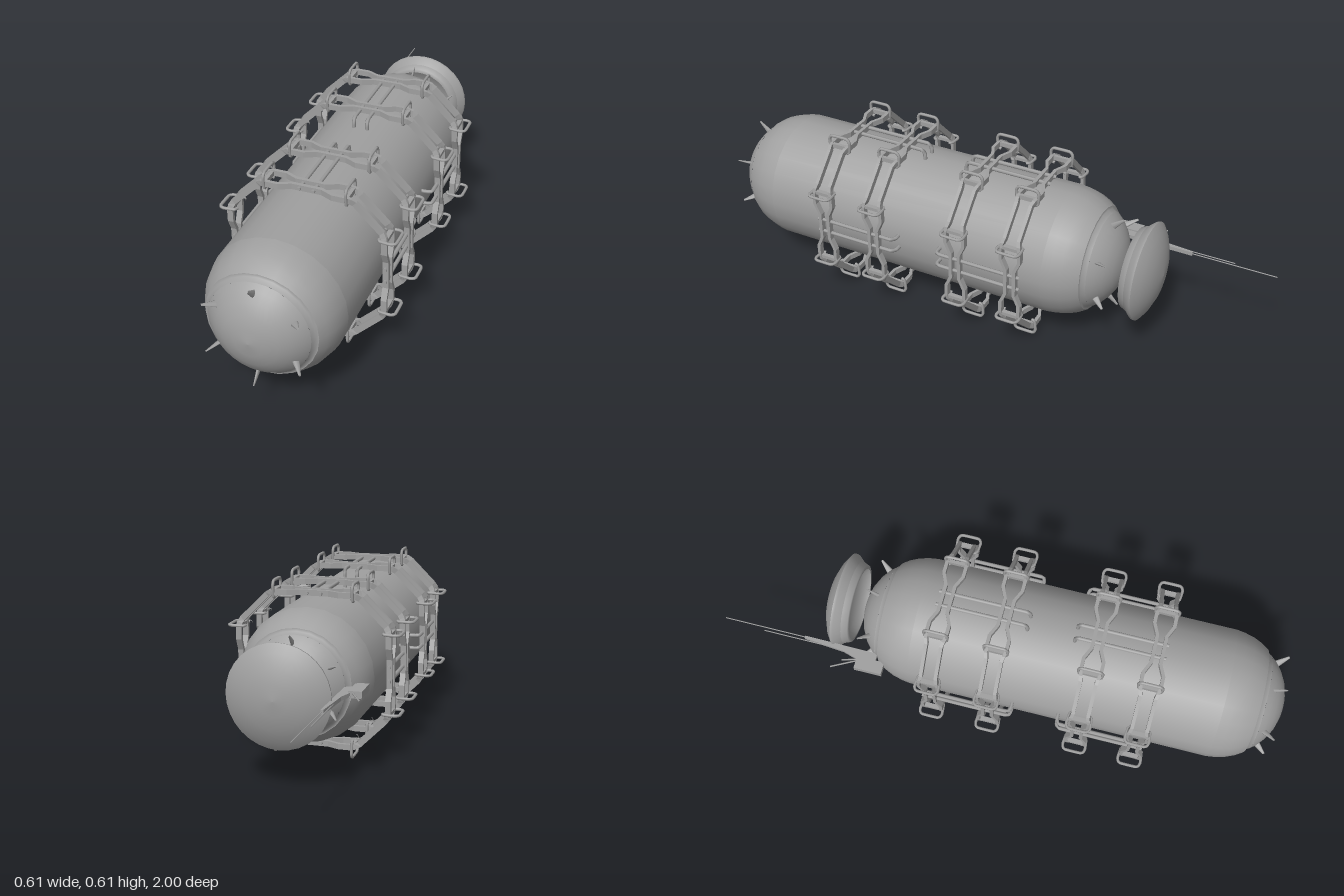
import * as THREE from 'three';

const V = (x, y, z) => new THREE.Vector3(x, y, z);

export function createModel() {
  const model = new THREE.Group();
  const grey = new THREE.MeshStandardMaterial({ color: 0xa0a0a0 });
  grey.name = 'metal grey';

  // Everything is arranged around the tank axis, which runs along z.
  const body = new THREE.Group();
  body.name = 'body';
  body.position.set(-0.002, 0.305, 0);
  model.add(body);

  const add = (name, geometry, parent = body) => {
    const mesh = new THREE.Mesh(geometry, grey);
    mesh.name = name;
    parent.add(mesh);
    return mesh;
  };
  const lathe = (points, sides) => new THREE.LatheGeometry(
    points.map(([r, z]) => new THREE.Vector2(r, z)), sides).rotateX(Math.PI / 2);
  const tube = (points, radius, steps = 24) => new THREE.TubeGeometry(
    new THREE.CatmullRomCurve3(points, false, 'catmullrom', 0.2), steps, radius, 6);

  // Tank barrel, then two mirrored ends (shoulder, groove, dome, horns)
  const middle = 0.24;
  add('tankBarrel', lathe([[0.23, -0.3], [0.23, 0.78]], 24));
  for (const side of [1, -1]) {
    const end = new THREE.Group();
    end.name = side > 0 ? 'frontEnd' : 'rearEnd';
    end.position.z = middle;
    if (side < 0) end.rotation.y = Math.PI;
    body.add(end);
    add('shoulder', lathe([[0.23, 0.54], [0.226, 0.57], [0.217, 0.605], [0.203, 0.637], [0.186, 0.663]], 24), end);
    add('groove', lathe([[0.186, 0.663], [0.176, 0.664], [0.168, 0.68]], 24), end);
    add('dome', lathe([[0.168, 0.68], [0.152, 0.699], [0.125, 0.722], [0.09, 0.742], [0.048, 0.755], [0, 0.76]], 32), end);
    for (let i = 0; i < 6; i++) {
      const spoke = new THREE.Group();
      spoke.name = 'hornMount';
      spoke.rotation.z = i * Math.PI / 3;
      end.add(spoke);
      const horn = add('horn', new THREE.CylinderGeometry(0.004, 0.016, 0.07, 8).scale(0.45, 1, 1), spoke);
      horn.position.set(0, 0.155, 0.713);
      horn.rotation.x = 0.85;
    }
  }

  // Cage hoops: quarter outline as [across, out, half spacing of the rails]
  const H = 0.263;
  const quarter = [[0, H, 0.016], [0.05, H, 0.016], [0.09, H, 0.034], [0.135, H, 0.034],
    [0.15, 0.26, 0.03], [0.163, 0.252, 0.026], [0.252, 0.163, 0.026], [0.26, 0.15, 0.03],
    [H, 0.135, 0.034], [H, 0.09, 0.034], [H, 0.05, 0.016]];
  const outline = [];
  for (let q = 0; q < 4; q++) {
    const c = Math.cos(q * Math.PI / 2), s = Math.sin(q * Math.PI / 2);
    for (const [x, y, w] of quarter) outline.push([x * c + y * s, y * c - x * s, w]);
  }
  const rail = (side) => {
    const n = outline.length, positions = [], index = [];
    outline.forEach(([x, y, w], i) => {
      const a = outline[(i + n - 1) % n], b = outline[(i + 1) % n];
      const normal = new THREE.Vector2(a[1] - b[1], b[0] - a[0]).normalize();
      for (const [r, z] of [[-0.01, -0.006], [0.01, -0.006], [0.01, 0.006], [-0.01, 0.006]]) {
        positions.push(x + normal.x * r, y + normal.y * r, side * w + z);
      }
      for (let k = 0; k < 4; k++) {
        const p = i * 4 + k, q = i * 4 + (k + 1) % 4;
        const p2 = ((i + 1) % n) * 4 + k, q2 = ((i + 1) % n) * 4 + (k + 1) % 4;
        index.push(p, q, q2, p, q2, p2);
      }
    });
    const g = new THREE.BufferGeometry();
    g.setAttribute('position', new THREE.Float32BufferAttribute(positions, 3));
    g.setIndex(index);
    const flat = g.toNonIndexed();
    flat.computeVertexNormals();
    return flat;
  };
  const railGeometries = [rail(1), rail(-1)];
  const handleGeometry = tube([V(0, 0.243, -0.025), V(0, 0.246, -0.037), V(0, 0.285, -0.041), V(0, 0.3, -0.031),
    V(0, 0.3, 0.031), V(0, 0.285, 0.041), V(0, 0.246, 0.037), V(0, 0.243, 0.025)], 0.0055, 28);
  const crossBar = new THREE.BoxGeometry(0.012, 0.016, 0.066);

  for (const z of [0.525, 0.323, 0, -0.208]) {
    const hoop = new THREE.Group();
    hoop.name = 'cageHoop';
    hoop.position.z = z;
    body.add(hoop);
    for (const g of railGeometries) add('hoopRail', g, hoop);
    for (let q = 0; q < 4; q++) {
      const face = new THREE.Group();
      face.name = 'hoopFace';
      face.rotation.z = q * Math.PI / 2;
      hoop.add(face);
      for (const x of [-0.138, 0.138]) {
        add('handle', handleGeometry, face).position.x = x;
        add('crossBar', crossBar, face).position.set(x, H, 0);
      }
    }
  }

  // Paired pipes that join the hoops and bend down into the tank
  for (let q = 0; q < 4; q++) {
    const face = new THREE.Group();
    face.name = 'pipeSet';
    face.rotation.z = q * Math.PI / 2;
    body.add(face);
    for (const x of [-0.024, 0.024]) {
      for (const [start, end] of [[0.555, 0.245], [-0.24, 0.08]]) {
        const d = Math.sign(end - start);
        add('pipe', tube([V(x, 0.262, start), V(x, 0.262, end - d * 0.02),
          V(x, 0.255, end - d * 0.005), V(x, 0.245, end), V(x, 0.215, end)], 0.007, 32), face);
      }
    }
  }

  // Rear dish: domed back, sloped skirt and a recessed front
  const dish = new THREE.Group();
  dish.name = 'dish';
  dish.position.set(0.004, 0.005, 0);
  body.add(dish);
  add('dishBack', lathe([[0, -0.657], [0.05, -0.653], [0.1, -0.641], [0.145, -0.622], [0.174, -0.602]], 32), dish);
  add('dishSkirt', lathe([[0.174, -0.602], [0.172, -0.592], [0.152, -0.57]], 32), dish);
  add('dishRim', lathe([[0.152, -0.57], [0.143, -0.548], [0.13, -0.546]], 32), dish);
  add('dishRecess', lathe([[0.13, -0.546], [0.118, -0.572], [0.06, -0.588], [0, -0.592]], 32), dish);

  // Side antenna: mount plate, tapered arm, two masts and small prongs
  const antenna = new THREE.Group();
  antenna.name = 'antenna';
  body.add(antenna);
  add('antennaMount', new THREE.BoxGeometry(0.045, 0.024, 0.1), antenna).position.set(-0.215, 0, -0.447);
  const arm = new THREE.Shape([[-0.2, 0.43], [-0.165, 0.43], [-0.163, 0.7], [-0.172, 0.7], [-0.185, 0.55], [-0.2, 0.5]]
    .map(([x, y]) => new THREE.Vector2(x, y)));
  add('antennaArm', new THREE.ExtrudeGeometry(arm, { depth: 0.014, bevelEnabled: false })
    .rotateX(-Math.PI / 2).translate(0, -0.007, 0), antenna);
  const rod = (name, a, b, r) => add(name, new THREE.TubeGeometry(new THREE.LineCurve3(a, b), 1, r, 6), antenna);
  rod('longMast', V(-0.166, 0, -0.6), V(-0.166, 0, -1), 0.002);
  rod('shortMast', V(-0.178, 0, -0.52), V(-0.178, 0, -0.85), 0.002);
  rod('prong', V(-0.205, 0.005, -0.49), V(-0.252, 0.005, -0.58), 0.003);
  rod('prong', V(-0.2, -0.005, -0.5), V(-0.215, -0.005, -0.55), 0.003);

  return model;
}
